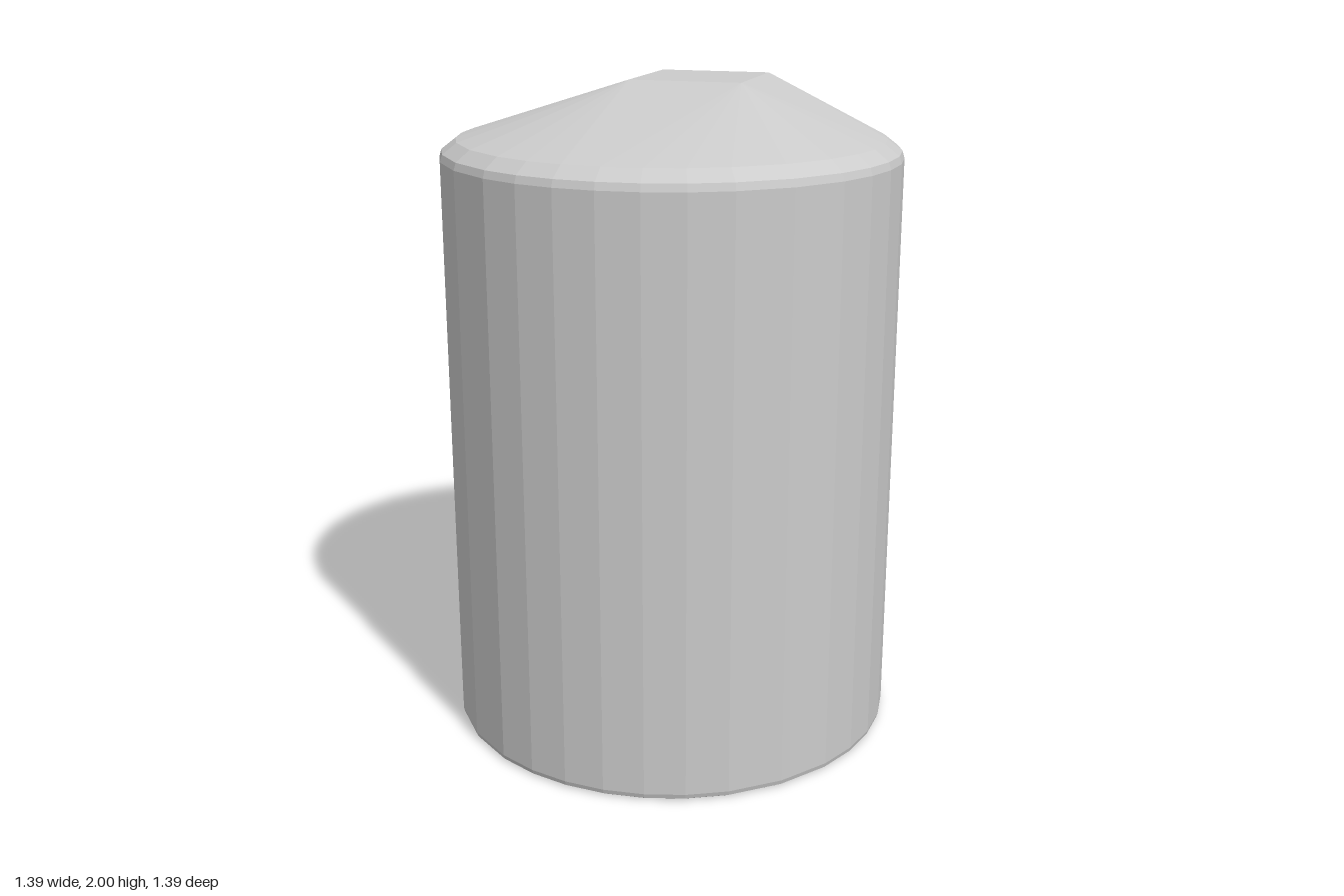
import * as THREE from 'three';
import { ConvexGeometry } from 'three/addons/geometries/ConvexGeometry.js';

// Side angles within a quarter turn, in degrees; repeated four times
const QUARTER = [0, 14.1, 24.7, 34.8, 45, 55.2, 65.3, 75.9];

function ring(radius, y) {
  const points = [];
  for (let q = 0; q < 4; q++) {
    for (const degrees of QUARTER) {
      const a = THREE.MathUtils.degToRad(degrees + q * 90);
      points.push(new THREE.Vector3(radius * Math.cos(a), y, radius * Math.sin(a)));
    }
  }
  return points;
}

export function createModel() {
  const group = new THREE.Group();
  group.name = 'post';
  const material = new THREE.MeshStandardMaterial({ color: 0xcccccc, flatShading: true });

  // Small bevel at the foot, straight wall, rounded shoulder
  const points = [
    ...ring(0.682, 0),
    ...ring(0.691, 0.006),
    ...ring(0.695, 0.02),
    ...ring(0.695, 1.79),
    ...ring(0.688, 1.812),
    ...ring(0.645, 1.845),
  ];

  // Off-centre flat diamond that the sloping top rises to
  const cx = 0.19, cz = -0.165, half = 0.25;
  for (const [dx, dz] of [[1, 0], [0, 1], [-1, 0], [0, -1]]) {
    points.push(new THREE.Vector3(cx + dx * half, 2, cz + dz * half));
  }

  const body = new THREE.Mesh(new ConvexGeometry(points), material);
  body.name = 'body';
  group.add(body);
  return group;
}
